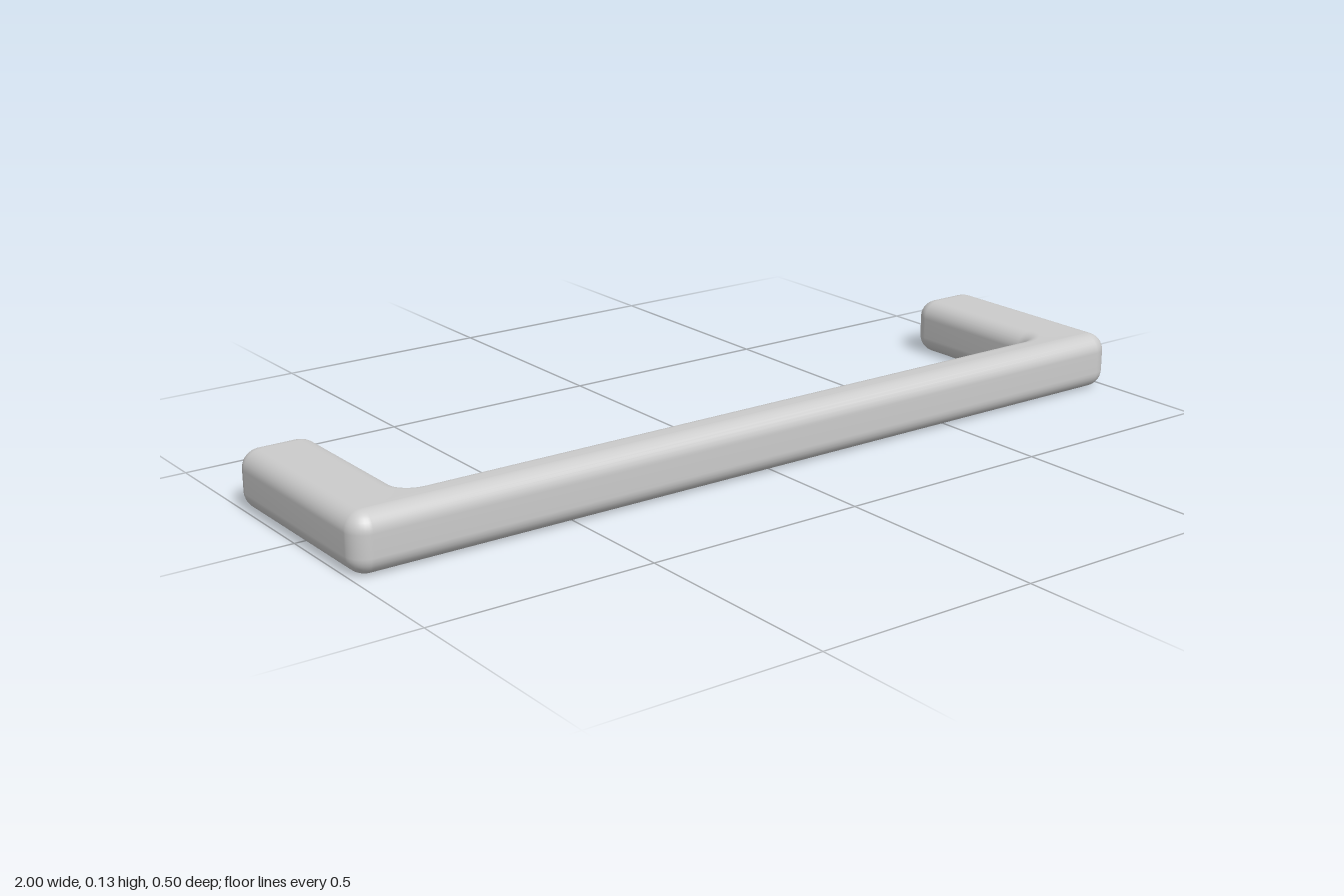
import * as THREE from 'three';
import { mergeVertices } from 'three/addons/utils/BufferGeometryUtils.js';

const HEIGHT = 0.128; // overall thickness
const ROUND = 0.04;   // edge rounding

// Closed outline with each right-angled corner [x, z, radius] turned into an arc
function roundedOutline(corners, steps = 8) {
  const points = [];
  const n = corners.length;
  corners.forEach(([x, z, r], i) => {
    const p = new THREE.Vector2(x, z);
    const toward = ([cx, cz]) => new THREE.Vector2(cx, cz).sub(p).normalize();
    const a = toward(corners[(i + n - 1) % n]);
    const b = toward(corners[(i + 1) % n]);
    const centre = p.clone().addScaledVector(a, r).addScaledVector(b, r);
    for (let k = 0; k <= steps; k++) {
      const t = (k / steps) * Math.PI / 2;
      points.push(centre.clone()
        .addScaledVector(b, -r * Math.cos(t))
        .addScaledVector(a, -r * Math.sin(t)));
    }
  });
  return new THREE.Shape(points);
}

export function createModel() {
  const group = new THREE.Group();
  group.name = 'pullHandle';

  // U-shaped outline in x/z, inset by the rounding that the bevel adds back
  const outer = 1 - ROUND, inner = 0.832 + ROUND;
  const front = 0.25 - ROUND, back = -front, barBack = 0.144 + ROUND;
  const tip = 0.003, fillet = 0.03 + ROUND;
  const shape = roundedOutline([
    [-outer, back, tip], [-inner, back, tip],
    [-inner, barBack, fillet], [inner, barBack, fillet],
    [inner, back, tip], [outer, back, tip],
    [outer, front, tip], [-outer, front, tip],
  ]);

  // Grip bar and both legs as one softly rounded solid
  const solid = new THREE.ExtrudeGeometry(shape, {
    depth: HEIGHT - 2 * ROUND,
    bevelEnabled: true,
    bevelSize: ROUND,
    bevelThickness: ROUND,
    bevelSegments: 8,
  });
  solid.rotateX(Math.PI / 2);
  solid.translate(0, HEIGHT - ROUND, 0);

  // Weld the vertices for smooth shading
  solid.deleteAttribute('uv');
  solid.deleteAttribute('normal');
  const geometry = mergeVertices(solid, 1e-5);
  geometry.computeVertexNormals();

  const handle = new THREE.Mesh(geometry, new THREE.MeshStandardMaterial({ color: 0xcccccc }));
  handle.name = 'gripBarWithLegs';
  group.add(handle);
  return group;
}
